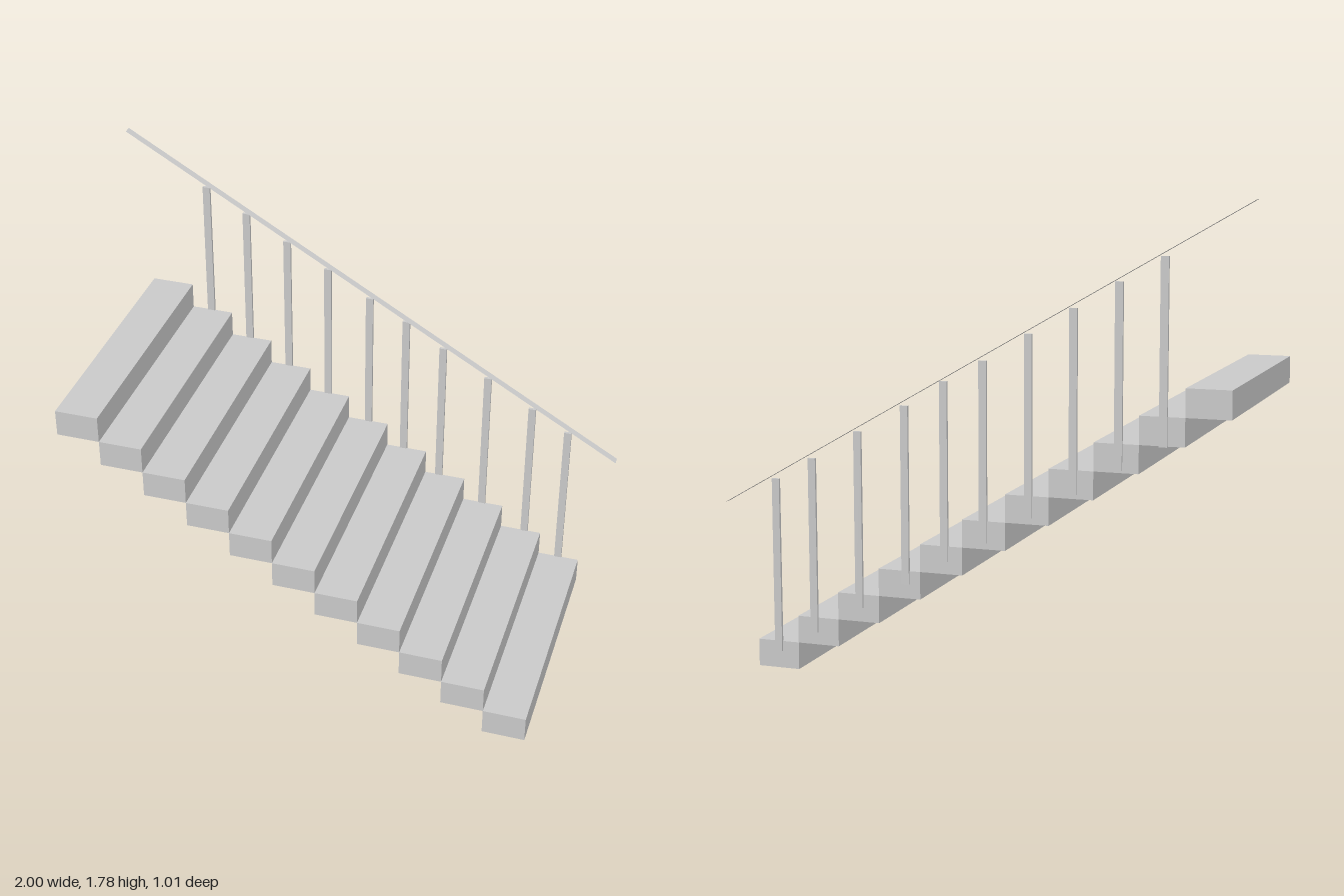
import * as THREE from 'three';

export function createModel() {
  const model = new THREE.Group();
  model.name = 'staircase';
  const grey = new THREE.MeshStandardMaterial({ color: 0xcccccc, flatShading: true });
  const sheet = new THREE.MeshStandardMaterial({ color: 0xcccccc, side: THREE.DoubleSide });

  const add = (name, geometry, material, x, y, z) => {
    const mesh = new THREE.Mesh(geometry, material);
    mesh.name = name;
    mesh.position.set(x, y, z);
    model.add(mesh);
    return mesh;
  };

  // Solid block steps, climbing towards -x
  const steps = 11, run = 0.1643, rise = 0.1032;
  const front = 0.506, back = -0.485;
  const stepGeometry = new THREE.BoxGeometry(run, rise, front - back);
  for (let i = 0; i < steps; i++) {
    add(`step${i + 1}`, stepGeometry, grey,
      0.884 - run * (i + 0.5), rise * (i + 0.5), (front + back) / 2);
  }

  // Flat balusters let into the back ends of the steps: [x, top]
  const balusters = [
    [0.8, 0.725], [0.652, 0.81], [0.468, 0.92], [0.283, 1.024], [0.131, 1.12],
    [-0.019, 1.2], [-0.19, 1.302], [-0.356, 1.398], [-0.521, 1.495], [-0.682, 1.586],
  ];
  const length = 0.66;
  const balusterGeometry = new THREE.BoxGeometry(0.029, length, 0.011);
  balusters.forEach(([x, top], i) =>
    add(`baluster${i + 1}`, balusterGeometry, grey, x, top - length / 2, -0.4865));

  // Thin sloping handrail strip
  const railDrop = 1.156;
  const railGeometry = new THREE.PlaneGeometry(Math.hypot(2, railDrop), 0.032);
  railGeometry.rotateX(-Math.PI / 2).rotateZ(-Math.atan2(railDrop, 2));
  add('handrail', railGeometry, sheet, 0, 1.205, -0.49);

  return model;
}
